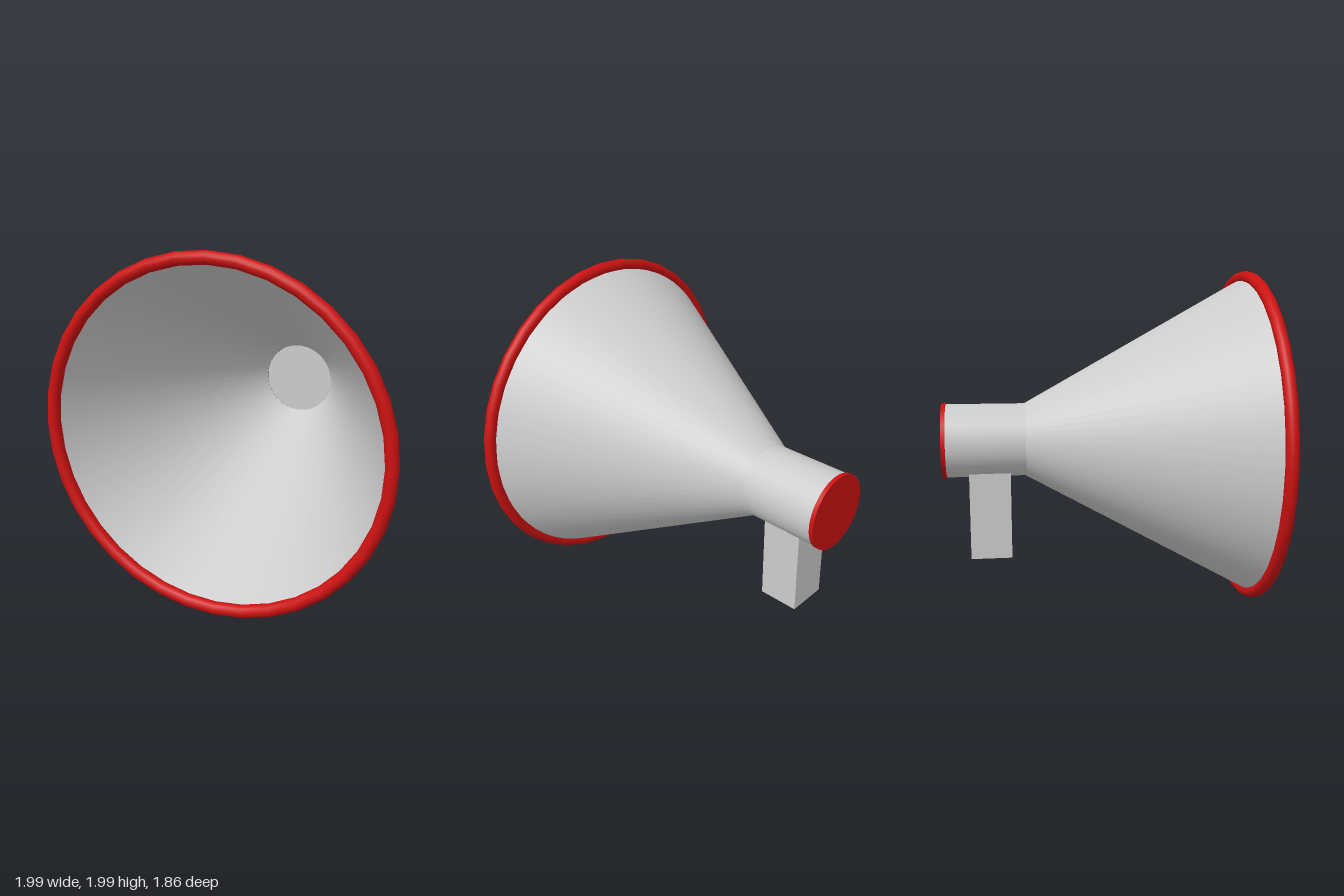
import * as THREE from 'three';

export function createModel() {
  const group = new THREE.Group();
  const grey = new THREE.MeshStandardMaterial({ color: 0xcccccc });
  const greyOpen = new THREE.MeshStandardMaterial({ color: 0xcccccc, side: THREE.DoubleSide });
  const red = new THREE.MeshStandardMaterial({ color: 0xcc1111 });
  const axisY = 1.004;

  function add(name, geometry, material, y, z) {
    const mesh = new THREE.Mesh(geometry, material);
    mesh.name = name;
    mesh.position.set(0, y, z);
    group.add(mesh);
  }

  // Round section along z, from the front radius to the back radius
  function section(name, rFront, rBack, zFront, zBack, material, open = false) {
    const geometry = new THREE.CylinderGeometry(rFront, rBack, zFront - zBack, 64, 1, open);
    geometry.rotateX(Math.PI / 2);
    add(name, geometry, material, axisY, (zFront + zBack) / 2);
  }

  // Open flared horn and the closed neck behind it
  section('horn', 0.953, 0.218, 0.895, -0.44, greyOpen, true);
  section('neck', 0.217, 0.219, -0.44, -0.91, grey);

  // Red end cap and mouth rim
  section('endCap', 0.225, 0.225, -0.905, -0.93, red);
  add('rim', new THREE.TorusGeometry(0.96, 0.036, 16, 36), red, axisY, 0.895);

  // Square grip under the neck
  add('handle', new THREE.BoxGeometry(0.245, 0.53, 0.245), grey, 0.565, -0.653);

  return group;
}
